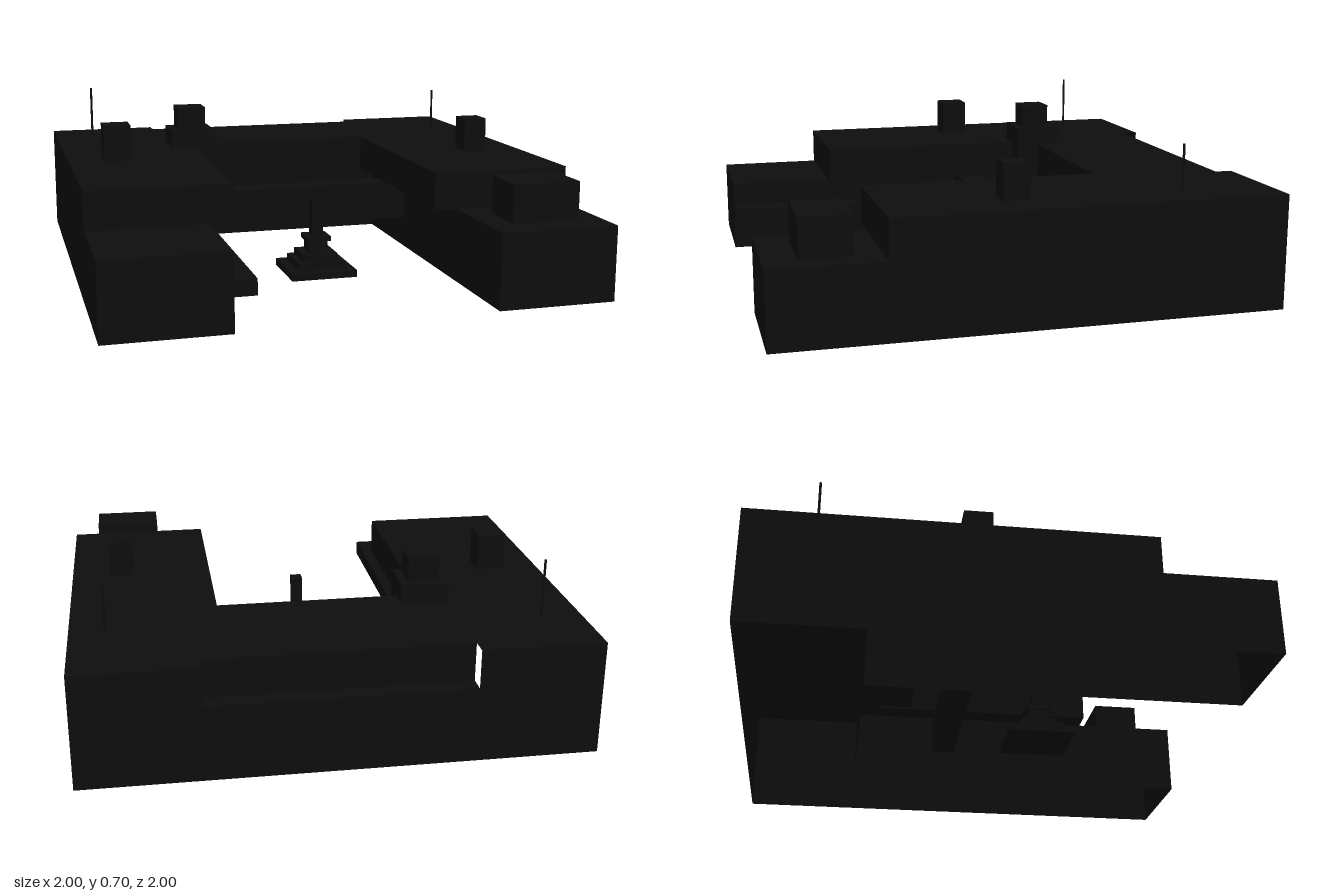
import * as THREE from 'three';

const black = new THREE.MeshStandardMaterial({ color: 0x0d0d0d, side: THREE.DoubleSide });
black.name = 'black';

// Vertical walls along a path of [x, z] points
function walls(name, path, y0, y1) {
  const pos = [];
  for (let i = 0; i + 1 < path.length; i++) {
    const [ax, az] = path[i], [bx, bz] = path[i + 1];
    pos.push(ax, y0, az, bx, y0, bz, bx, y1, bz, ax, y0, az, bx, y1, bz, ax, y1, az);
  }
  const geo = new THREE.BufferGeometry();
  geo.setAttribute('position', new THREE.Float32BufferAttribute(pos, 3));
  geo.computeVertexNormals();
  const mesh = new THREE.Mesh(geo, black);
  mesh.name = name;
  return mesh;
}

// Flat horizontal slab face with an outline of [x, z] points
function deck(name, outline, y) {
  const shape = new THREE.Shape(outline.map(([x, z]) => new THREE.Vector2(x, -z)));
  const mesh = new THREE.Mesh(new THREE.ShapeGeometry(shape).rotateX(-Math.PI / 2), black);
  mesh.position.y = y;
  mesh.name = name;
  return mesh;
}

const rect = (x0, x1, z0, z1) => [[x0, z0], [x0, z1], [x1, z1], [x1, z0]];

function box(name, x0, x1, y0, y1, z0, z1) {
  const mesh = new THREE.Mesh(new THREE.BoxGeometry(x1 - x0, y1 - y0, z1 - z0), black);
  mesh.position.set((x0 + x1) / 2, (y0 + y1) / 2, (z0 + z1) / 2);
  mesh.name = name;
  return mesh;
}

export function createModel() {
  const model = new THREE.Group();
  model.name = 'courtyardBuilding';
  const storey = 0.305, top = 0.46;
  const inLow = 0.515, inHigh = 0.417, front = 0.56, recess = -0.93;

  // Lower storey: U-shaped shell, open underneath
  model.add(walls('lowerWalls', [
    [-1, 1], [-inLow, 1], [-inLow, -inLow], [inLow, -inLow], [inLow, 1],
    [1, 1], [1, -1], [-1, -1], [-1, 1]], 0, storey));

  // Upper storey overhangs the courtyard and steps back at the rear
  model.add(walls('upperInnerWalls', [
    [-inLow, -1], [-1, -1], [-1, front], [-inHigh, front], [-inHigh, -inHigh],
    [inHigh, -inHigh], [inHigh, front], [1, front], [1, -1], [inLow, -1]], storey, top));
  model.add(walls('upperRearWall', [[-inLow, recess], [inLow, recess]], storey, top));
  model.add(deck('mainRoof', [
    [-1, front], [-inHigh, front], [-inHigh, -inHigh], [inHigh, -inHigh], [inHigh, front],
    [1, front], [1, -1], [inLow, -1], [inLow, recess], [-inLow, recess], [-inLow, -1], [-1, -1]], top));
  model.add(deck('rearLedge', rect(-inLow, inLow, -1, recess), storey));
  model.add(deck('rearSoffit', rect(-inLow, inLow, -inLow, -inHigh), storey));
  for (const [side, s] of [['left', 1], ['right', -1]]) {
    const xs = (a, b) => [Math.min(s * a, s * b), Math.max(s * a, s * b)];
    model.add(deck(side + 'FrontRoof', rect(...xs(inLow, 1), front, 1), storey));
    model.add(deck(side + 'Soffit', rect(...xs(inHigh, inLow), -inHigh, front), storey));
  }

  // Walkway along one wing and the bridge across the courtyard
  model.add(box('walkway', -inLow, -0.43, 0.137, 0.2, -0.155, 1));
  model.add(box('bridge', -inLow, inLow, 0.137, storey, -0.155, -0.055));

  // Stair tower in the courtyard corner
  model.add(box('stairTower', -0.515, -0.32, 0, 0.54, -0.515, -0.32));
  model.add(box('stairTowerTop', -0.48, -0.355, 0.54, 0.64, -0.475, -0.355));

  // Roof boxes and masts
  model.add(box('frontRoofBox', 0.62, 0.9, storey, top, 0.67, 0.87));
  model.add(box('rightChimney', -0.85, -0.735, top, 0.613, -0.17, -0.055));
  model.add(box('leftChimney', 0.74, 0.84, top, 0.605, -0.01, 0.095));
  for (const [x, z, h] of [[-0.835, -0.725, 0.7], [0.86, -0.62, 0.65]]) {
    const mast = new THREE.Mesh(new THREE.CylinderGeometry(0.005, 0.005, h - top, 8), black);
    mast.position.set(x, (h + top) / 2, z);
    mast.name = 'mast';
    model.add(mast);
  }

  // Stepped monument: half width, bottom, top
  const monument = new THREE.Group();
  monument.name = 'monument';
  for (const [w, y0, y1] of [[0.14, 0, 0.03], [0.1, 0.03, 0.06], [0.075, 0.06, 0.09],
    [0.04, 0.09, 0.14], [0.052, 0.14, 0.16], [0.024, 0.16, 0.31]]) {
    monument.add(box('monumentTier', -w, w, y0, y1, -w, w));
  }
  monument.position.z = 0.255;
  model.add(monument);

  return model;
}
